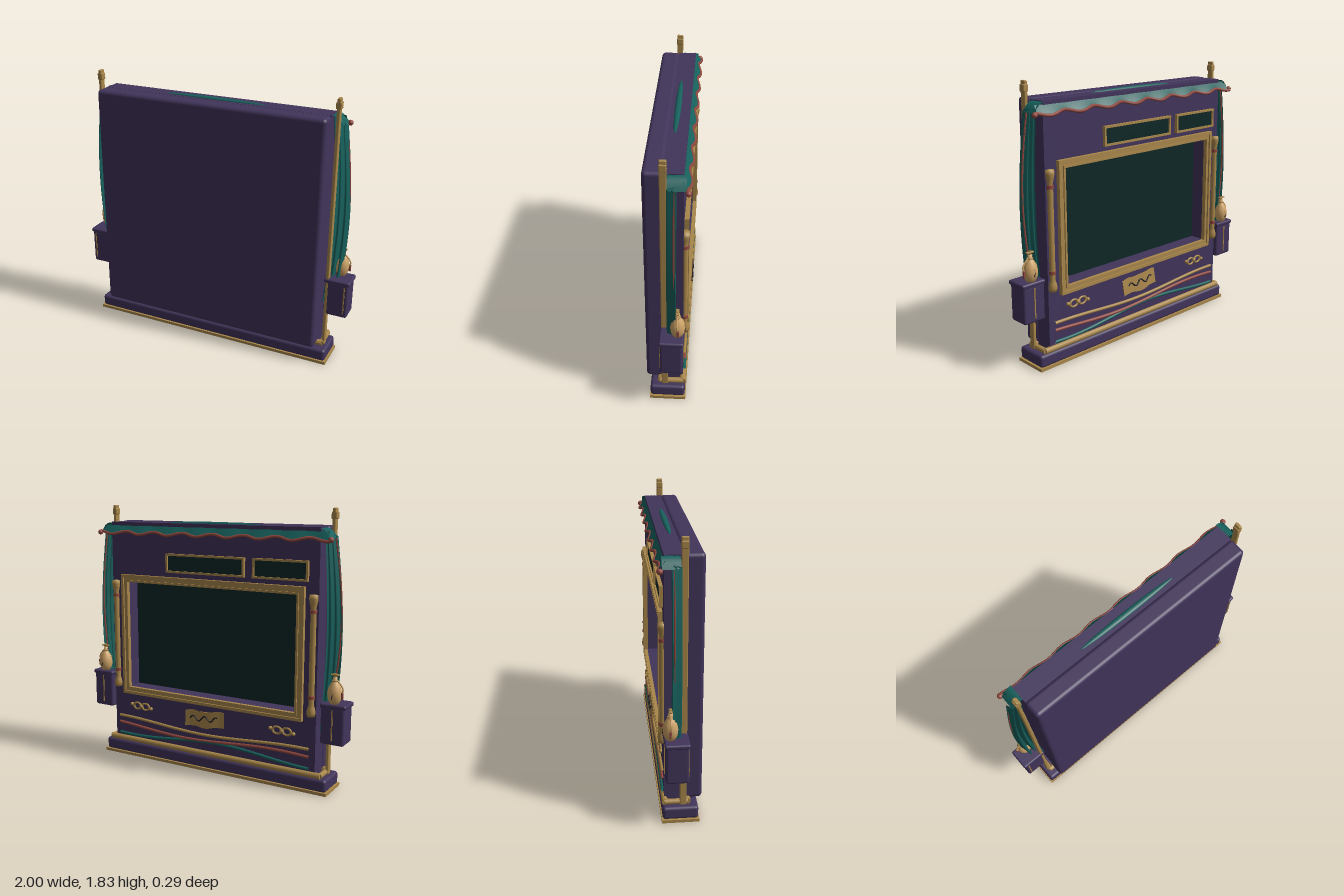
import * as THREE from 'three';
import { RoundedBoxGeometry } from 'three/addons/geometries/RoundedBoxGeometry.js';

const mat = (name, color, side = THREE.FrontSide) => {
  const m = new THREE.MeshStandardMaterial({ color, side });
  m.name = name;
  return m;
};

export function createModel() {
  const model = new THREE.Group();
  model.name = 'puppetStage';
  const purple = mat('purplePaint', 0x41345a);
  const gold = mat('gold', 0xa8864a);
  const teal = mat('tealCloth', 0x17605c, THREE.DoubleSide);
  const dark = mat('darkGreen', 0x0d2726);
  const red = mat('rustRed', 0x90483f);
  const tan = mat('tanCeramic', 0xcfa468);
  const ink = mat('ink', 0x1c1822);

  const add = (name, geo, m, x = 0, y = 0, z = 0, parent = model) => {
    const mesh = new THREE.Mesh(geo, m);
    mesh.name = name;
    mesh.position.set(x, y, z);
    parent.add(mesh);
    return mesh;
  };
  const box = (w, h, d, r = 0) =>
    r ? new RoundedBoxGeometry(w, h, d, 3, r) : new THREE.BoxGeometry(w, h, d);
  const cyl = (r, h, n = 16) => new THREE.CylinderGeometry(r, r, h, n);
  const lathe = (pts, n = 20) =>
    new THREE.LatheGeometry(pts.map(([r, y]) => new THREE.Vector2(r, y)), n);
  const tube = (fn, n, r) => {
    const pts = [];
    for (let i = 0; i <= n; i++) pts.push(new THREE.Vector3(...fn(i / n)));
    return new THREE.TubeGeometry(new THREE.CatmullRomCurve3(pts), n * 2, r, 8);
  };
  // Cloth surface from a rule f(u, v)
  const sheet = (f, nu, nv) => {
    const g = new THREE.PlaneGeometry(1, 1, nu, nv);
    const p = g.attributes.position;
    for (let i = 0; i < p.count; i++) p.setXYZ(i, ...f(p.getX(i) + 0.5, 0.5 - p.getY(i)));
    g.computeVertexNormals();
    return g;
  };
  // Rectangular ring extruded along z
  const rectPath = (P, w, h) => {
    const s = new P();
    s.moveTo(-w / 2, -h / 2); s.lineTo(w / 2, -h / 2);
    s.lineTo(w / 2, h / 2); s.lineTo(-w / 2, h / 2); s.closePath();
    return s;
  };
  const ring = (w, h, border, depth) => {
    const s = rectPath(THREE.Shape, w, h);
    s.holes.push(rectPath(THREE.Path, w - 2 * border, h - 2 * border));
    return new THREE.ExtrudeGeometry(s, { depth, bevelEnabled: false });
  };

  // Plinth and rails
  add('plinthBase', box(1.78, 0.02, 0.235), gold, 0, 0.01, -0.0025);
  add('plinth', box(1.765, 0.085, 0.225, 0.02), purple, 0, 0.06, -0.002);
  for (const z of [0.045, -0.098])
    add('bottomRail', cyl(0.02, 1.68), gold, 0, 0.122, z).rotation.z = Math.PI / 2;

  // Cabinet: large front slab, and back body with a recessed opening
  add('frontSlab', box(1.614, 1.595, 0.12, 0.025), purple, 0, 0.9175, 0.08);
  const body = rectPath(THREE.Shape, 1.6, 1.6);
  const hole = new THREE.Path();
  hole.moveTo(-0.665, -0.385); hole.lineTo(0.665, -0.385);
  hole.lineTo(0.665, 0.39); hole.lineTo(-0.665, 0.39); hole.closePath();
  body.holes.push(hole);
  add('backBody', new THREE.ExtrudeGeometry(body, { depth: 0.12, bevelEnabled: false }),
    purple, 0, 0.91, -0.098);
  add('stageBackdrop', box(1.34, 0.79, 0.01), dark, 0, 0.912, 0.012);

  // Stepped picture frame round the opening
  add('frameOuter', ring(1.42, 0.87, 0.02, 0.032), gold, 0, 0.908, -0.126);
  add('frameMiddle', ring(1.386, 0.836, 0.026, 0.018), gold, 0, 0.908, -0.115);
  add('frameInner', ring(1.344, 0.794, 0.014, 0.03), gold, 0, 0.908, -0.124);

  // Sign panels above the opening
  for (const [x, w] of [[0.025, 0.61], [-0.535, 0.39]]) {
    add('signRim', ring(w, 0.13, 0.014, 0.022), gold, x, 1.44, -0.12);
    add('signPanel', box(w - 0.02, 0.11, 0.008), dark, x, 1.44, -0.105);
  }

  // Plaque with a zigzag line
  const plaque = new THREE.Group();
  plaque.name = 'plaque';
  plaque.position.set(0.02, 0.375, -0.122);
  plaque.rotation.set(0.12, 0, -0.06);
  model.add(plaque);
  add('plaqueSheet', sheet((u, v) => [0.155 - u * 0.31, 0.055 - v * 0.11 + 0.008 * Math.sin(u * 9),
    0.004 * Math.sin(u * 8)], 16, 2), gold, 0, 0, 0, plaque).material = gold;
  add('plaqueBoard', box(0.29, 0.1, 0.014), gold, 0, 0, 0.01, plaque);
  add('plaqueLine', tube(t => [0.11 - t * 0.22, 0.018 * Math.sin(t * 15) + 0.005, -0.006], 12, 0.005),
    ink, 0, 0, 0, plaque);

  // Wavy ribbons along the bottom
  [[gold, 0.275, 0.018, 0], [red, 0.228, 0.02, 0.7], [teal, 0.185, 0.026, 2.6]].forEach(([m, y, a, ph]) =>
    add('waveRibbon', tube(t => [0.76 - t * 1.52, y + a * Math.cos(t * 6.6 + ph), -0.105], 24, 0.011), m));

  // Top cloth, valance and rope
  add('topCloth', new THREE.SphereGeometry(1, 32, 12).scale(0.36, 0.014, 0.02), teal, 0, 1.709, -0.02);
  const ripple = x => 0.01 * Math.sin(x * 27);
  add('valance', sheet((u, v) => {
    const x = 0.86 - u * 1.72;
    return [x, 1.69 - 0.045 * v + v * ripple(x + 0.1), -0.095 - v * (0.032 + ripple(x))];
  }, 80, 4), teal);
  add('valanceRope', tube(t => {
    const x = 0.88 - t * 1.76;
    return [x, 1.637 + ripple(x + 0.1), -0.129 - ripple(x)];
  }, 60, 0.01), red);

  for (const s of [1, -1]) {
    // Gold post with cap
    add('post', box(0.022, 1.72, 0.042, 0.006), gold, s * 0.845, 0.965, 0.016);
    add('postCap', box(0.036, 0.045, 0.044, 0.006), gold, s * 0.845, 1.78, 0.016);
    add('sideRail', cyl(0.018, 0.15), gold, s * 0.835, 0.122, -0.027).rotation.x = Math.PI / 2;
    add('valanceEnd', sheet((u, v) => [s * (0.8 + 0.075 * u), 1.705 - 0.06 * u * u,
      -0.005 - 0.11 * v], 6, 3), teal);
    add('valanceKnot', new THREE.SphereGeometry(0.018, 12, 8), red, s * 0.88, 1.637, -0.127);

    // Side curtain, bulging outward, with a rope edge
    const outer = v => 0.885 + 0.055 * Math.sin(Math.PI * Math.min(1, v * 0.95 + 0.02));
    const curtain = (u, v) => {
      const inner = 0.805 + 0.03 * Math.sin(Math.PI * v);
      return [s * (inner + (outer(v) - inner) * u), 1.71 - 0.065 * u - v * (1.3 - 0.065 * u),
        -0.025 + 0.022 * Math.sin(u * 17)];
    };
    add('curtain', sheet(curtain, 36, 20), teal);
    add('curtainBack', sheet((u, v) => {
      const [x, y, z] = curtain(u, v);
      return [x, y, z * 0.6 - 0.03];
    }, 36, 20), teal);
    add('curtainTrim', tube(t => [s * (outer(t) - 0.008), 1.645 - t * 1.03, -0.047], 16, 0.006), red);

    // Column beside the opening
    add('column', lathe([[0, 0], [0.026, 0.005], [0.03, 0.03], [0.024, 0.06], [0.017, 0.08],
      [0.019, 0.12], [0.019, 0.66], [0.017, 0.7], [0.024, 0.73], [0.03, 0.76],
      [0.028, 0.785], [0, 0.79]]), gold, s * 0.768, 0.51, -0.105);
    for (const y of [0.64, 1.19]) add('columnBand', cyl(0.023, 0.022), red, s * 0.768, y, -0.105);

    // Bow ornament
    const bow = new THREE.Group();
    bow.name = 'bowOrnament';
    bow.position.set(s * 0.565, 0.385, -0.105);
    model.add(bow);
    add('bowKnot', new THREE.SphereGeometry(0.016, 10, 8), gold, 0, 0, 0, bow);
    for (const k of [1, -1]) {
      add('bowLoop', new THREE.TorusGeometry(0.024, 0.007, 8, 16), gold, k * 0.036, 0, 0, bow).scale.x = 1.3;
      add('bowBead', new THREE.SphereGeometry(0.013, 10, 8), gold, k * 0.084, 0.008 * k, 0, bow);
    }

    // Side box with lid and gold strips
    add('sideBox', box(0.16, 0.25, 0.14, 0.015), purple, s * 0.91, 0.47, -0.034);
    add('sideBoxLid', box(0.175, 0.03, 0.152, 0.012), purple, s * 0.912, 0.598, -0.034);
    add('boxStripFront', box(0.008, 0.2, 0.006), gold, s * 0.965, 0.475, 0.037);
    add('boxStripBack', box(0.008, 0.2, 0.006), gold, s * 0.91, 0.475, -0.105);

    // Bottle with stopper, handle and tassel
    const bottle = new THREE.Group();
    bottle.name = 'bottle';
    bottle.position.set(s * 0.91, 0.613, -0.07);
    model.add(bottle);
    add('bottleBody', lathe([[0, 0], [0.03, 0], [0.043, 0.03], [0.047, 0.065], [0.04, 0.105],
      [0.022, 0.135], [0.013, 0.15], [0.015, 0.17], [0, 0.172]]), tan, 0, 0, 0, bottle);
    add('bottleCollar', new THREE.TorusGeometry(0.016, 0.005, 8, 16), gold, 0, 0.148, 0, bottle)
      .rotation.x = Math.PI / 2;
    add('stopper', cyl(0.008, 0.03), gold, 0, 0.18, 0, bottle);
    add('stopperBar', box(0.055, 0.01, 0.022, 0.004), gold, 0, 0.185, 0, bottle);
    add('bottleHandle', tube(t => [s * (0.015 + 0.04 * Math.sin(t * 2.2)), 0.15 - t * 0.08, 0], 8, 0.005),
      tan, 0, 0, 0, bottle);
    add('tassel', box(0.014, 0.045, 0.014, 0.004), red, s * 0.052, 0.055, -0.005, bottle);
    add('bottleLine', tube(t => [0.004 * Math.sin(t * 12), 0.035 + t * 0.07,
      -0.046 + 0.012 * t * t], 8, 0.003), ink, 0, 0, 0, bottle);
  }
  return model;
}
